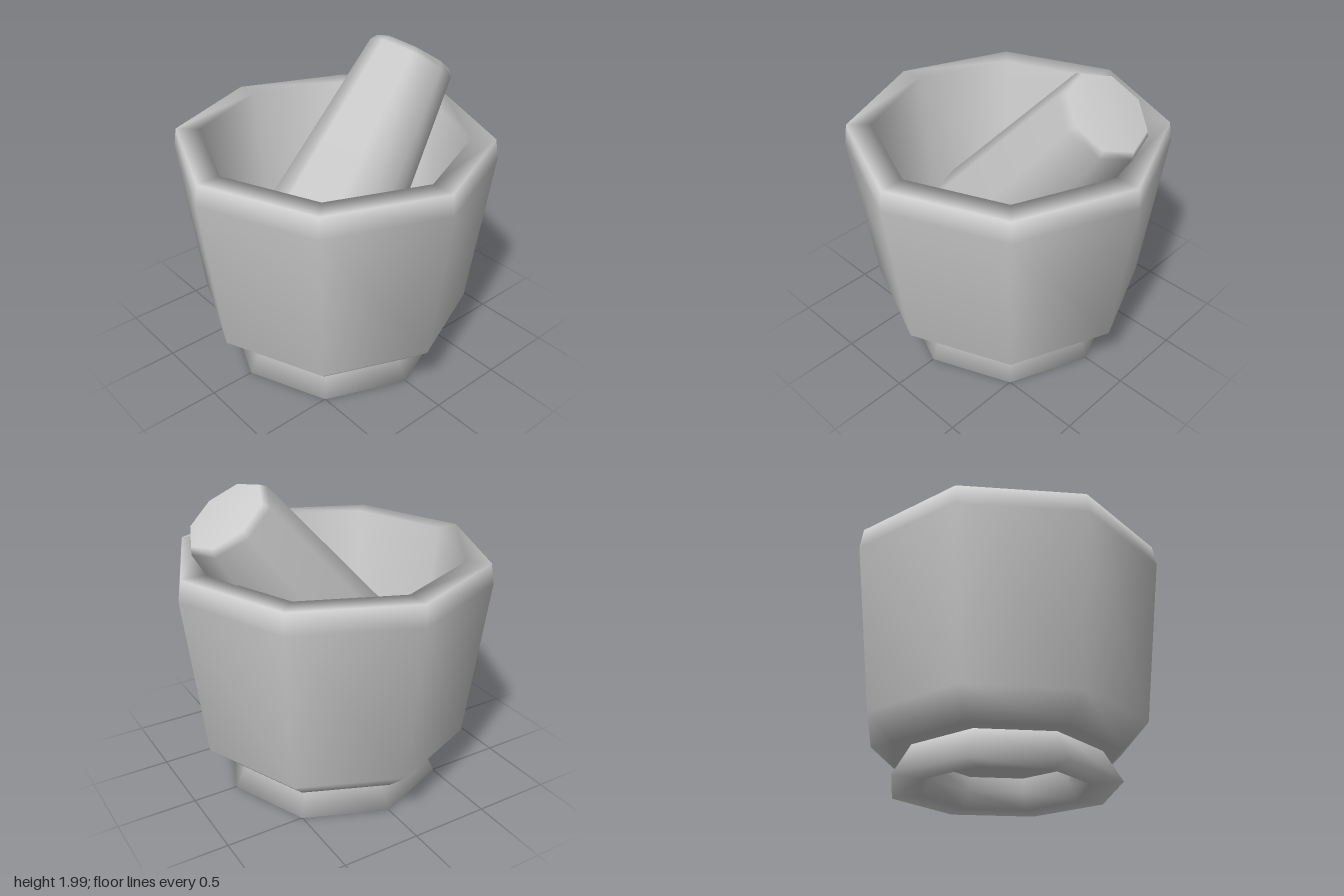
import * as THREE from 'three';

export function createModel() {
  const model = new THREE.Group();
  const stone = new THREE.MeshStandardMaterial({ color: 0xcccccc });
  stone.name = 'paleStone';

  // Eight-sided turned part from [radius, height] pairs, outside first
  const turned = (name, profile) => {
    const points = profile.map(([r, y]) => new THREE.Vector2(r, y));
    const mesh = new THREE.Mesh(new THREE.LatheGeometry(points, 8), stone);
    mesh.name = name;
    model.add(mesh);
    return mesh;
  };

  // Hollow bowl: underside, chamfer, flared wall, rim, inner wall and floor
  turned('mortarBowl', [
    [0, 0.19], [0.71, 0.19], [0.875, 0.34], [1, 1.37], [0.98, 1.5],
    [0.83, 1.5], [0.73, 0.5], [0.58, 0.32], [0, 0.3],
  ]);

  // Flared foot, open in the middle
  turned('footRing', [
    [0.45, 0.19], [0.46, 0.1], [0.52, 0], [0.71, 0], [0.6, 0.19],
  ].map(([r, y]) => [r, y]));

  // Pestle: tapered, chamfered at both ends, leaning to the left
  const pestle = turned('pestle', [
    [0, -0.1], [0.35, -0.1], [0.455, 0], [0.285, 1.53], [0.255, 1.57], [0, 1.57],
  ]);
  const base = new THREE.Vector3(-0.23, 0.58, -0.015);
  const tip = new THREE.Vector3(0.705, 1.845, -0.04);
  pestle.geometry.rotateY(-0.08);
  pestle.position.copy(base);
  pestle.quaternion.setFromUnitVectors(
    new THREE.Vector3(0, 1, 0), tip.sub(base).normalize());

  return model;
}
